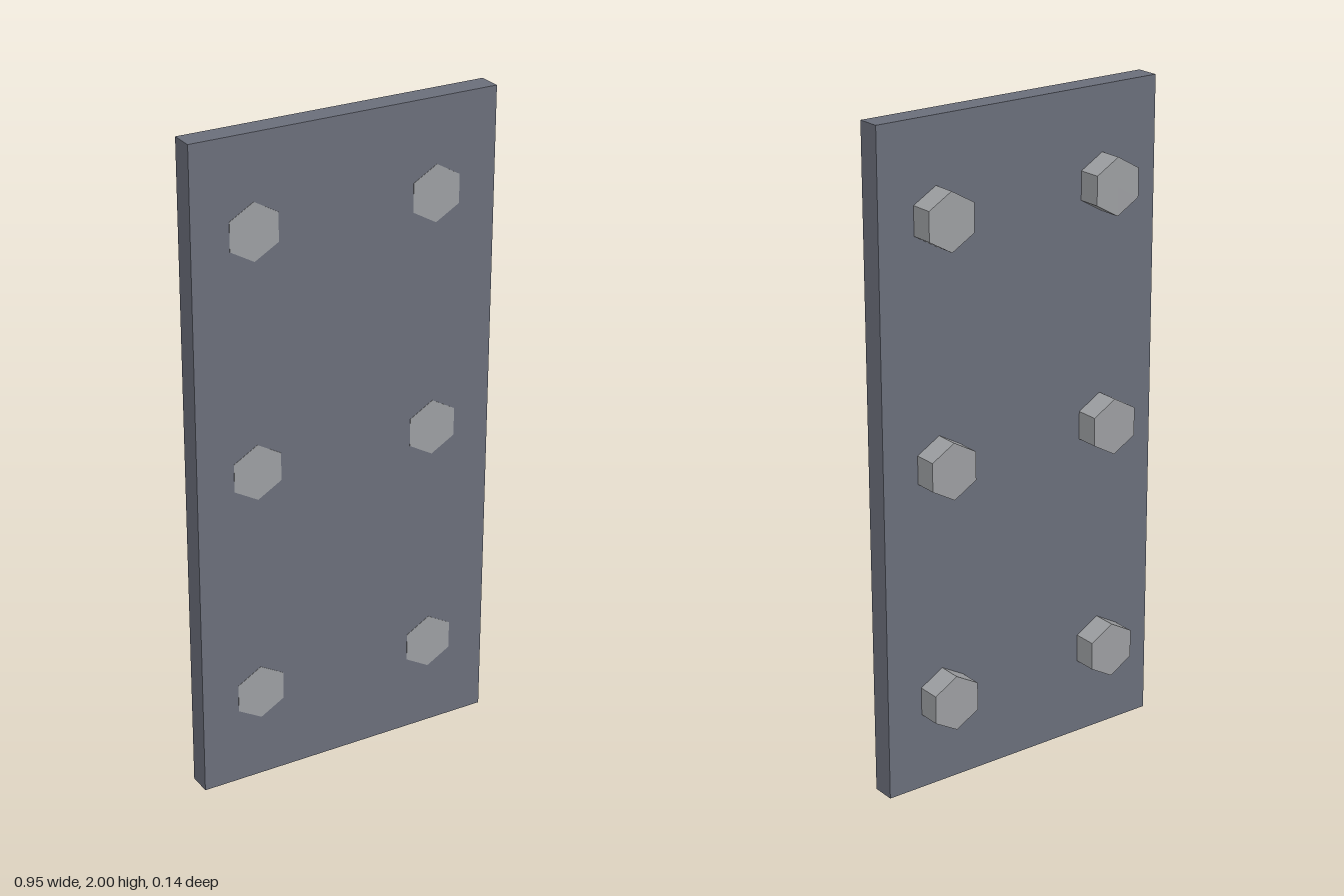
import * as THREE from 'three';

export function createModel() {
  const group = new THREE.Group();
  const plateMat = new THREE.MeshStandardMaterial({ color: 0x6a6e7a });
  plateMat.name = 'slate grey';
  const boltMat = new THREE.MeshStandardMaterial({ color: 0x9c9ea1, flatShading: true });
  boltMat.name = 'light steel';

  const thickness = 0.0714;

  // Upright flat plate
  const plate = new THREE.Mesh(new THREE.BoxGeometry(0.952, 2, thickness), plateMat);
  plate.name = 'plate';
  plate.position.set(0, 1, thickness / 2);
  group.add(plate);

  // Hexagonal bolts pass through the plate, nearly flush at the front
  // and standing proud at the back
  const front = thickness + 0.001;
  const back = -thickness;
  const boltGeo = new THREE.CylinderGeometry(0.0858, 0.0858, front - back, 6);
  boltGeo.rotateX(Math.PI / 2);
  for (const y of [0.28, 1, 1.72]) {
    for (const side of [-1, 1]) {
      const bolt = new THREE.Mesh(boltGeo, boltMat);
      bolt.name = side > 0 ? 'leftBolt' : 'rightBolt';
      bolt.position.set(side * 0.286, y, (front + back) / 2);
      group.add(bolt);
    }
  }
  return group;
}
